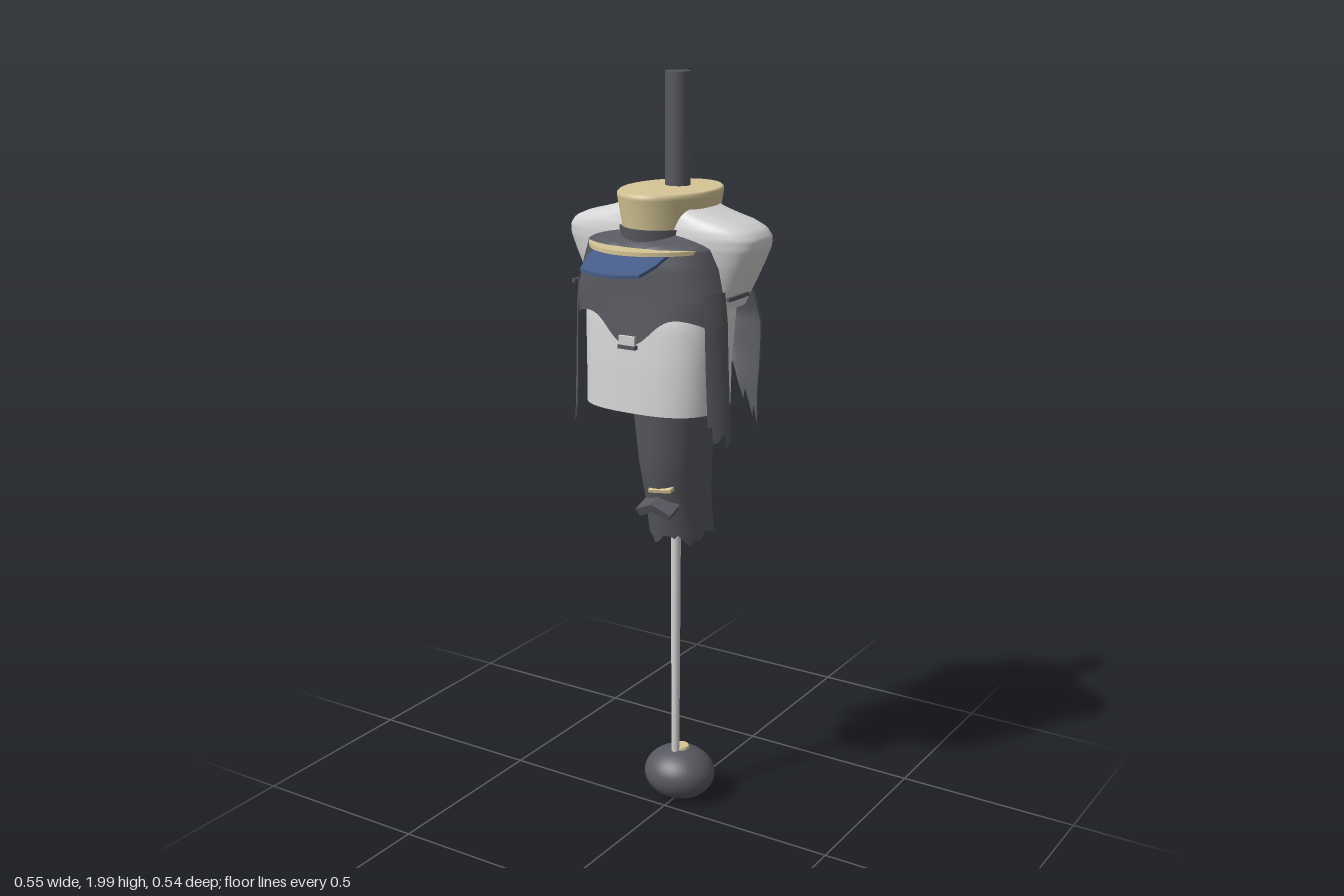
import * as THREE from 'three';

export function createModel() {
  const root = new THREE.Group();
  const mat = (name, color, side = THREE.DoubleSide) => {
    const m = new THREE.MeshStandardMaterial({ color, side });
    m.name = name;
    return m;
  };
  const charcoal = mat('charcoal', 0x57585f);
  const pale = mat('pale grey', 0xd3d3d3);
  const straw = mat('straw', 0xd6c697);
  const blue = mat('blue', 0x455b87);
  const maroon = mat('maroon', 0x3a1512);

  const add = (name, geo, material, x = 0, y = 0, z = 0) => {
    const m = new THREE.Mesh(geo, material);
    m.name = name;
    m.position.set(x, y, z);
    root.add(m);
    return m;
  };

  // Profile rows are [y, half width, half depth, centre z], listed from bottom to top.
  const sample = (rows, y) => {
    let i = 0;
    while (i < rows.length - 2 && y > rows[i + 1][0]) i++;
    const a = rows[i], b = rows[i + 1];
    const t = THREE.MathUtils.clamp((y - a[0]) / (b[0] - a[0]), 0, 1);
    return a.map((v, k) => v + (b[k] - v) * t);
  };

  // Cloth sheet around the body: angle 0 faces front, positive angles run to +x.
  function cloth(rows, { from = -Math.PI, to = Math.PI, n = 2.4, nu = 64, nv = 20,
    bottom = () => rows[0][0], top = () => rows[rows.length - 1][0], swell = () => 1 } = {}) {
    const pos = [], idx = [];
    const pow = v => Math.sign(v) * Math.abs(v) ** (2 / n);
    for (let j = 0; j <= nv; j++) for (let i = 0; i <= nu; i++) {
      const a = from + (to - from) * i / nu;
      const y = bottom(a) + (top(a) - bottom(a)) * j / nv;
      const [, rx, rz, cz] = sample(rows, y);
      pos.push(rx * pow(Math.sin(a)) * swell(a), y, cz + rz * pow(Math.cos(a)) * swell(a));
      if (i < nu && j < nv) {
        const k = j * (nu + 1) + i;
        idx.push(k, k + 1, k + nu + 2, k, k + nu + 2, k + nu + 1);
      }
    }
    const g = new THREE.BufferGeometry();
    g.setAttribute('position', new THREE.Float32BufferAttribute(pos, 3));
    g.setIndex(idx);
    g.computeVertexNormals();
    return g;
  }
  // Ragged hem: a sawtooth in the angle
  const ragged = (a, size, rate) => size * ((Math.abs(a) * rate) % 1);

  // Poles and foot
  add('topPole', new THREE.CylinderGeometry(0.032, 0.032, 0.4, 32), charcoal, 0, 1.8, -0.063);
  add('legPole', new THREE.CylinderGeometry(0.014, 0.011, 0.8, 20), pale, -0.003, 0.54, -0.062);
  add('foot', new THREE.SphereGeometry(1, 40, 28), charcoal, 0, 0.08, -0.08).scale.set(0.1, 0.073, 0.092);
  add('footCap', new THREE.CylinderGeometry(0.022, 0.026, 0.012, 20), straw, 0, 0.152, -0.085);

  // Tapered lower body with a ragged open end
  add('lowerBody', cloth([
    [0.78, 0.083, 0.092, -0.09], [0.9, 0.084, 0.097, -0.07], [1.0, 0.092, 0.105, -0.055],
    [1.2, 0.11, 0.12, -0.05], [1.35, 0.125, 0.12, -0.05], [1.5, 0.13, 0.08, -0.05],
  ], { n: 2, bottom: a => 0.805 + 0.012 * Math.sin(a * 5) - ragged(a, 0.018, 2.2) }), charcoal);

  // Knee tatter and its trim
  for (const s of [-1, 1]) {
    const flap = add('kneeTatter', new THREE.BoxGeometry(0.06, 0.022, 0.05), charcoal, s * 0.022, 0.897, 0.035);
    flap.rotation.set(0.35, 0, -s * 0.45);
  }
  const trim = add('kneeTrim', new THREE.BoxGeometry(0.07, 0.009, 0.03), straw, 0.01, 0.945, 0.028);
  trim.rotation.set(0.3, 0, 0.15);

  // Shirt, open at the back
  add('shirt', cloth([
    [1.18, 0.183, 0.137, 0.028], [1.3, 0.187, 0.13, 0.026], [1.4, 0.195, 0.125, 0.02], [1.5, 0.2, 0.11, 0.01],
  ], { from: -2.5, to: 2.5, n: 2.7 }), pale);

  // Rounded shoulders
  add('shoulders', cloth([
    [1.44, 0.205, 0.09, -0.02], [1.5, 0.232, 0.1, -0.025], [1.55, 0.256, 0.104, -0.025],
    [1.59, 0.273, 0.106, -0.025], [1.615, 0.275, 0.105, -0.025], [1.635, 0.26, 0.102, -0.025],
    [1.65, 0.225, 0.098, -0.025], [1.665, 0.165, 0.095, -0.025], [1.68, 0.12, 0.09, -0.025],
  ], { n: 3.2, nv: 40 }), pale);

  // Front of the vest, with a pointed middle and arched lower edge
  add('vestFront', cloth([
    [1.34, 0.207, 0.145, 0.026], [1.47, 0.218, 0.142, 0.018], [1.55, 0.198, 0.14, 0.016],
    [1.595, 0.185, 0.138, 0.012], [1.615, 0.15, 0.1, 0.0], [1.635, 0.1, 0.06, 0.0],
  ], {
    from: -1.32, to: 1.32, n: 2.5, nv: 28,
    bottom: a => 1.43 - 0.075 * Math.exp(-((a / 0.28) ** 2)) - 0.03 * Math.min(1, Math.abs(a) / 1.1) ** 3,
  }), charcoal);
  add('buckle', new THREE.BoxGeometry(0.045, 0.024, 0.012), pale, 0, 1.366, 0.17);
  add('buckleBar', new THREE.BoxGeometry(0.05, 0.01, 0.014), charcoal, 0, 1.35, 0.17);

  // Ragged side strips and back wings, mirrored
  const stripRows = [
    [1.09, 0.238, 0.135, 0.02], [1.3, 0.228, 0.138, 0.02], [1.42, 0.224, 0.14, 0.02], [1.49, 0.216, 0.14, 0.02],
  ];
  const wingRows = [
    [1.08, 0.232, 0.125, -0.04], [1.2, 0.226, 0.145, -0.04], [1.28, 0.226, 0.17, -0.04],
    [1.38, 0.225, 0.19, -0.04], [1.45, 0.212, 0.172, -0.035], [1.51, 0.195, 0.115, -0.03],
  ];
  for (const s of [-1, 1]) {
    const span = (a, b) => (s > 0 ? { from: a, to: b } : { from: -b, to: -a });
    add('sideStrip', cloth(stripRows, {
      ...span(0.92, 1.36), n: 2.5, nu: 24,
      bottom: a => 1.1 + ragged(a, 0.045, 4) + 0.14 * Math.max(0, 1.1 - Math.abs(a)),
    }), charcoal);
    add('backWing', cloth(wingRows, {
      ...span(1.85, Math.PI), n: 2.6, nu: 48,
      bottom: a => {
        const t = (Math.abs(a) - 1.85) / (Math.PI - 1.85);
        return 1.1 + 0.2 * t * t + ragged(a, 0.035, 3.5);
      },
      top: a => 1.47 + 0.025 * Math.sin(Math.abs(a) * 3),
      swell: a => 1 - 0.16 * Math.exp(-(((Math.PI - Math.abs(a)) / 0.16) ** 2)),
    }), charcoal);
    add('armholeTrim', new THREE.BoxGeometry(0.008, 0.01, 0.1), charcoal, s * 0.228, 1.475, 0.025);
  }

  // Dark opening at the nape
  add('neckOpening', new THREE.SphereGeometry(1, 32, 20), maroon, 0, 1.54, -0.105).scale.set(0.08, 0.055, 0.072);

  // Straw hat: oval brim, flared crown, band and visor
  const crown = new THREE.LatheGeometry([[0.106, 1.6], [0.108, 1.64], [0.118, 1.705], [0.118, 1.715], [0.113, 1.72],
    [0.0001, 1.721]].map(p => new THREE.Vector2(...p)), 56);
  add('hatCrown', crown, straw, 0, 0, -0.031).scale.z = 1.41;
  add('hatBrim', new THREE.CylinderGeometry(0.19, 0.19, 0.01, 64), straw, 0, 1.588, -0.032).scale.z = 1.25;
  add('hatBand', new THREE.CylinderGeometry(0.113, 0.111, 0.03, 56), charcoal, 0, 1.618, -0.031).scale.z = 1.42;
  const collar = new THREE.CylinderGeometry(0.17, 0.17, 0.014, 56, 1, false, Math.PI / 2 - 0.5, Math.PI + 1);
  add('bandCollar', collar, charcoal, 0, 1.606, -0.031).scale.z = 1.06;

  const visorShape = new THREE.Shape([[-0.112, 0.09], [0.112, 0.09], [0.1, 0.2], [0.085, 0.247], [0.03, 0.267],
    [-0.03, 0.267], [-0.085, 0.247], [-0.1, 0.2]].map(p => new THREE.Vector2(...p)));
  const visorGeo = new THREE.ExtrudeGeometry(visorShape, { depth: 0.008, bevelEnabled: false });
  visorGeo.rotateX(Math.PI / 2);
  const vp = visorGeo.attributes.position;
  for (let i = 0; i < vp.count; i++) {
    vp.setY(i, vp.getY(i) + 1.618 - 0.4 * (vp.getZ(i) - 0.09) - 0.7 * vp.getX(i) ** 2);
  }
  visorGeo.computeVertexNormals();
  add('visor', visorGeo, blue);

  return root;
}
